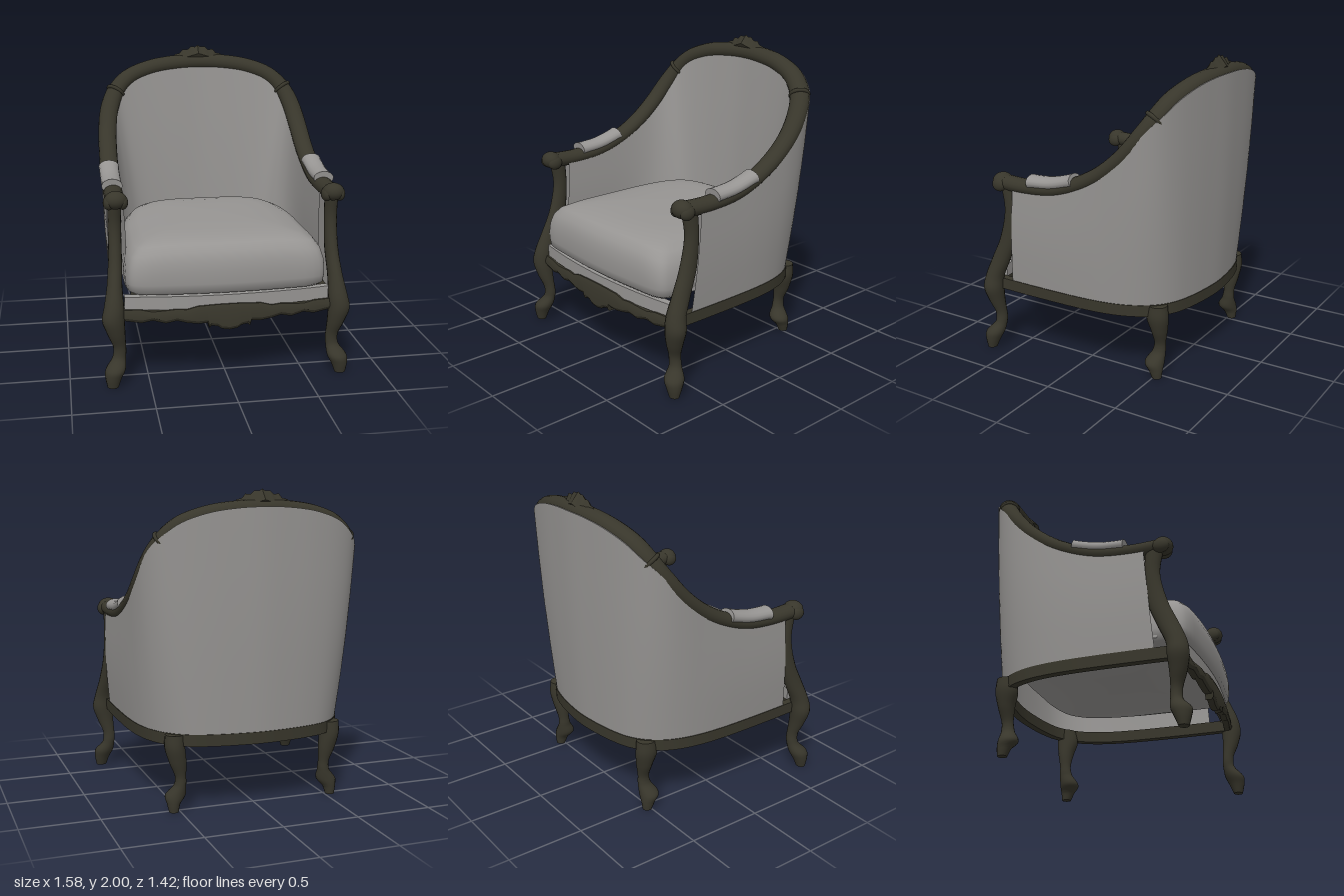
import * as THREE from 'three';
import { toCreasedNormals } from 'three/addons/utils/BufferGeometryUtils.js';

const V = (x, y, z) => new THREE.Vector3(x, y, z);
const UP = V(0, 1, 0);
const wood = new THREE.MeshStandardMaterial({ color: 0x38362b });
wood.name = 'dark wood';
const fabric = new THREE.MeshStandardMaterial({ color: 0x979593, side: THREE.DoubleSide });
fabric.name = 'grey fabric';

// Surface through equal-length rings: a capped solid, or an open sheet
function loft(rings, crease = 0.8, open = false) {
  const centre = r => r.reduce((a, p) => a.add(p), V(0, 0, 0)).divideScalar(r.length);
  const a = centre(rings[0]), b = centre(rings[rings.length - 1]);
  const all = open ? rings : [rings[0].map(() => a), ...rings, rings[0].map(() => b)];
  const m = rings[0].length, tris = [];
  for (let i = 0; i < all.length - 1; i++) {
    for (let j = 0; j < (open ? m - 1 : m); j++) {
      const k = (j + 1) % m;
      const [p, q, r, s] = [all[i][j], all[i][k], all[i + 1][k], all[i + 1][j]];
      if (p === q) tris.push([p, r, s]);
      else if (r === s) tris.push([p, q, s]);
      else tris.push([p, q, s], [q, r, s]);
    }
  }
  // turn the faces outwards
  let volume = 0;
  for (const [p, q, r] of tris) volume += p.dot(q.clone().cross(r));
  const pos = [];
  for (const [p, q, r] of tris) {
    for (const v of volume > 0 ? [p, q, r] : [p, r, q]) pos.push(v.x, v.y, v.z);
  }
  const g = new THREE.BufferGeometry();
  g.setAttribute('position', new THREE.Float32BufferAttribute(pos, 3));
  return toCreasedNormals(g, crease);
}

// Position, outward normal, upper normal and tangent on a path
function frame(curve, t) {
  const T = curve.getTangent(t);
  const N = T.clone().cross(UP).normalize();
  return { P: curve.getPoint(t), N, B: N.clone().cross(T), T };
}

function sweep(curve, n, size, m = 16) {
  const rings = [];
  for (let i = 0; i <= n; i++) {
    const { P, N, B } = frame(curve, i / n);
    const [a, b] = size(i / n, P);
    rings.push(Array.from({ length: m }, (_, j) => {
      const w = j / m * Math.PI * 2;
      return P.clone().addScaledVector(N, a * Math.cos(w)).addScaledVector(B, b * Math.sin(w));
    }));
  }
  return loft(rings);
}

// Leg from sections [x, y, z, half width, half depth]
function leg(sections, side) {
  const path = new THREE.CatmullRomCurve3(sections.map(s => V(s[0], s[1], s[2])));
  const size = new THREE.CatmullRomCurve3(sections.map(s => V(s[3], s[4], 0)));
  const rings = [];
  for (let i = 0; i <= 48; i++) {
    const p = path.getPoint(i / 48), r = size.getPoint(i / 48);
    rings.push(Array.from({ length: 16 }, (_, j) => {
      const w = j / 16 * Math.PI * 2;
      return V(side * (p.x + r.x * Math.cos(w)), p.y, p.z + r.y * Math.sin(w));
    }));
  }
  return loft(rings);
}

// Carving from stations [x, low, high] out from the centre; section gives its corners as [y, z]
function carving(stations, section) {
  const all = [...stations.slice(1).reverse().map(([x, l, h]) => [-x, l, h]), ...stations];
  return loft(all.map(([x, l, h]) => section(x, l, h).map(([y, z]) => V(x, y, z))), 0.5);
}

// Full symmetrical path from its left half, the last point being on the centre line
const mirrored = half => new THREE.CatmullRomCurve3(
  [...half, ...half.slice(0, -1).reverse().map(p => [-p[0], p[1], p[2]])].map(p => V(...p)));

const railPath = mirrored([
  [.685, 1.175, .56], [.685, 1.168, .36], [.685, 1.188, .14], [.685, 1.248, -.04],
  [.682, 1.335, -.2], [.675, 1.45, -.34], [.652, 1.58, -.45], [.6, 1.695, -.528],
  [.505, 1.785, -.575], [.35, 1.845, -.61], [.17, 1.873, -.63], [0, 1.88, -.64]]);
const basePath = mirrored([
  [.7, .5, .64], [.705, .5, .39], [.705, .5, .14], [.7, .5, -.04],
  [.685, .5, -.2], [.655, .5, -.33], [.605, .5, -.44], [.53, .5, -.53],
  [.44, .5, -.59], [.31, .5, -.63], [.15, .5, -.655], [0, .5, -.665]]);

export function createModel() {
  const model = new THREE.Group();
  model.name = 'armchair';
  const add = (name, geometry, material) => {
    const mesh = new THREE.Mesh(geometry, material);
    mesh.name = name;
    model.add(mesh);
    return mesh;
  };

  // One wooden rail runs along both arms and over the back
  add('armAndCrestRail', sweep(railPath, 120, (t, P) => {
    const h = THREE.MathUtils.smoothstep(P.y, 1.2, 1.85);
    return [.061 + .004 * h, .05 + .007 * h];
  }), wood);

  // Upholstery wrapping round the sides and back, hollow and open below
  const wall = [];
  for (let i = 0; i <= 100; i++) {
    const t = .027 + .946 * i / 100;
    const top = frame(railPath, t), base = frame(basePath, t);
    const h = THREE.MathUtils.smoothstep(top.P.y, 1.2, 1.88);
    const back = THREE.MathUtils.smoothstep(top.P.y, 1.18, 1.6);
    const shift = (f, d, dy) => f.P.clone().addScaledVector(f.N, d).add(V(0, dy, 0));
    const outTop = shift(top, .048 + .025 * h, -.02 + .035 * h);
    const inTop = shift(top, -.052, -.015);
    const outBase = shift(base, 0, 0), inBase = shift(base, -.07 - .07 * back, .1);
    const steps = [0, .25, .5, .75, 1];
    const bulge = s => .012 * Math.sin(Math.PI * s);
    wall.push([
      ...steps.map(s => outBase.clone().lerp(outTop, s).addScaledVector(base.N, bulge(s))),
      ...steps.map(s => inTop.clone().lerp(inBase, s).addScaledVector(base.N, -bulge(s)))]);
  }
  add('upholsteredShell', loft(wall, 0.8, true), fabric);

  // Wooden base rail under the wall
  const base = [];
  for (let i = 0; i <= 80; i++) {
    const { P, N } = frame(basePath, i / 80);
    base.push([[.005, -.07], [.005, .005], [-.045, .005], [-.045, -.07]].map(
      ([d, y]) => P.clone().addScaledVector(N, d).add(V(0, y, 0))));
  }
  add('baseRail', loft(base), wood);

  // Loose seat cushion, bowed at the front and crowned on top
  const plan = [[0, .705], [.35, .69], [.58, .66], [.625, .61], [.63, .2], [.62, -.1],
    [.56, -.36], [.45, -.485], [.25, -.535]];
  const outline = new THREE.CatmullRomCurve3([...plan, [0, -.54],
    ...plan.slice(1).reverse().map(([x, z]) => [-x, z])].map(([x, z]) => V(x, 0, z)), true);
  const levels = [[.955, .59], [.99, .61], [1, .66], [1, .74], [.99, .8], [.96, .86],
    [.9, .9], [.8, .922], [.6, .936], [.3, .941], [.08, .943]];
  add('seatCushion', loft(levels.map(([s, y]) => Array.from({ length: 72 }, (_, j) => {
    const p = outline.getPoint(j / 72);
    const droop = y > .7 ? .035 * Math.abs(p.x * s / .6) ** 4 : 0;
    return V(p.x * s, y - droop, p.z * s);
  })), 1.1), fabric);

  // Padded seat edge below the cushion
  const edge = new THREE.Shape();
  edge.moveTo(-.65, -.58).lineTo(-.65, -.63).quadraticCurveTo(0, -.74, .65, -.63);
  edge.lineTo(.65, -.58).quadraticCurveTo(0, -.69, -.65, -.58);
  const edgeGeo = new THREE.ExtrudeGeometry(edge, { depth: .085, bevelEnabled: false, curveSegments: 20 });
  edgeGeo.rotateX(-Math.PI / 2).translate(0, .495, 0);
  add('seatEdge', edgeGeo, fabric);

  // Bowed apron with a scalloped lower edge
  add('apron', carving([[0, .352, .522], [.05, .36, .522], [.075, .378, .521], [.115, .385, .52],
    [.13, .37, .519], [.14, .405, .518], [.2, .4, .515], [.27, .41, .495], [.33, .425, .5],
    [.4, .41, .493], [.48, .43, .486], [.55, .415, .5], [.66, .43, .5]], (x, l, h) => {
    const z = .695 - .12 * x * x;
    return [[l, z - .04], [l, z], [l + .02, z + .012], [h - .03, z + .012], [h, z], [h, z - .04]];
  }), wood);

  // Shell carving on the crest, thickest in the middle
  add('crestCarving', carving([[0, 1.86, 2], [.02, 1.86, 1.988], [.05, 1.86, 1.99], [.075, 1.865, 1.968],
    [.11, 1.87, 1.97], [.13, 1.87, 1.945], [.165, 1.88, 1.937], [.19, 1.895, 1.91]], (x, l, h) => {
    const d = .05 - .15 * Math.abs(x);
    return [[l, -.625], [1.945 - .3 * Math.abs(x), -.63 + d], [h, -.63], [1.935 - .3 * Math.abs(x), -.635 - d]];
  }), wood);

  for (const side of [1, -1]) {
    const name = side > 0 ? 'left' : 'right';
    add(name + 'FrontLegAndPost', leg([
      [.69, 1.15, .5, .042, .056], [.692, 1, .485, .041, .048], [.695, .8, .515, .043, .062],
      [.705, .65, .575, .047, .066], [.715, .52, .628, .062, .064], [.722, .44, .637, .07, .066],
      [.705, .34, .63, .056, .052], [.685, .24, .612, .04, .036], [.69, .18, .612, .042, .038],
      [.717, .11, .645, .064, .063], [.73, .06, .655, .052, .05], [.735, 0, .66, .035, .03]], side), wood);
    add(name + 'BackLeg', leg([
      [.53, .5, -.52, .06, .06], [.53, .42, -.515, .064, .072], [.512, .32, -.52, .055, .052],
      [.493, .22, -.515, .035, .037], [.495, .17, -.51, .038, .043], [.522, .1, -.493, .065, .063],
      [.538, .05, -.51, .042, .045], [.54, 0, -.52, .03, .03]], side), wood);

    // Scrolled hand grip
    for (const [d, y, z, rx, ry, rz] of [[0, 1.18, .555, .07, .056, .062],
      [-.042, 1.165, .55, .035, .046, .052], [.042, 1.165, .55, .035, .046, .052]]) {
      const grip = add(name + 'HandGrip', new THREE.SphereGeometry(1, 20, 14), wood);
      grip.position.set(side * .685 + d, y, z);
      grip.scale.set(rx, ry, rz);
    }

    // Arm pad with lipped ends
    const pad = new THREE.CatmullRomCurve3([V(side * .69, 1.212, .315),
      V(side * .69, 1.226, .15), V(side * .69, 1.268, -.015)]);
    add(name + 'ArmPad', sweep(pad, 20, t => {
      const lip = Math.abs(2 * t - 1) ** 8;
      return [.064 + .003 * lip, .042 + .004 * lip];
    }), fabric);

    // Carved band round the rail at the shoulder
    const { P, T } = frame(railPath, side > 0 ? 7 / 22 : 15 / 22);
    const band = add(name + 'RailBand', new THREE.TorusGeometry(.058, .013, 8, 24), wood);
    band.position.copy(P);
    band.quaternion.setFromUnitVectors(V(0, 0, 1), T);
  }
  return model;
}
